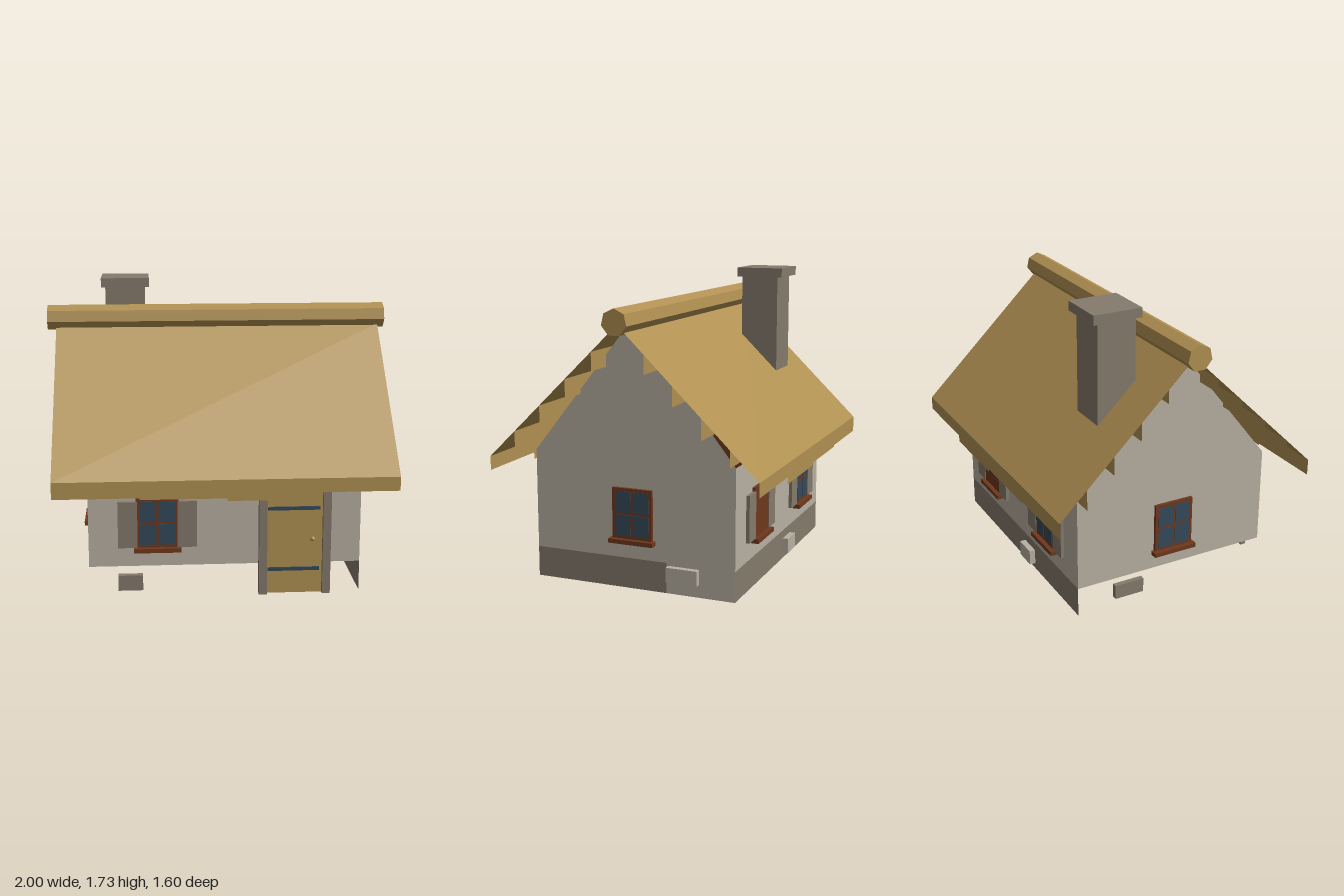
import * as THREE from 'three';

const mat = (name, color, side = THREE.FrontSide) => {
  const m = new THREE.MeshStandardMaterial({ color, side });
  m.name = name;
  return m;
};

export function createModel() {
  const house = new THREE.Group();
  house.name = 'cottage';
  const plaster = mat('plaster', 0xb8b0a2, THREE.DoubleSide);
  const stone = mat('stone', 0x857a6c, THREE.DoubleSide);
  const thatch = mat('thatch', 0xb09052, THREE.DoubleSide);
  const timber = mat('timber', 0x6e381d);
  const slate = mat('slateBlue', 0x34495a);

  const L = -0.765, R = 0.785, F = 0.605, EAVE = 0.75, BAND = 0.175;

  const add = (parent, name, geo, material) => {
    const m = new THREE.Mesh(geo, material);
    m.name = name;
    parent.add(m);
    return m;
  };
  // box given by its min and max on each axis
  const box = (parent, name, material, x0, x1, y0, y1, z0, z1) => {
    const m = add(parent, name, new THREE.BoxGeometry(x1 - x0, y1 - y0, z1 - z0), material);
    m.position.set((x0 + x1) / 2, (y0 + y1) / 2, (z0 + z1) / 2);
    return m;
  };
  const sheet = (pts) => new THREE.ShapeGeometry(new THREE.Shape(pts.map((p) => new THREE.Vector2(...p))));
  const rect = (x0, x1, y0, y1) => sheet([[x0, y0], [x1, y0], [x1, y1], [x0, y1]]);

  // Walls: open shell without floor; the front goes around the doorway
  add(house, 'frontWall', sheet([[L, BAND], [0.22, BAND], [0.22, 0.66], [0.59, 0.66], [0.59, BAND],
    [R, BAND], [R, EAVE], [L, EAVE]]), plaster).position.z = F;
  const back = add(house, 'backWall', rect(-R, -L, BAND, EAVE), plaster);
  back.position.z = -F;
  back.rotation.y = Math.PI;
  for (const [name, x, s] of [['leftGable', R, 1], ['rightGable', L, -1]]) {
    const g = add(house, name, sheet([[-F, BAND], [F, BAND], [F, EAVE], [0.04, 1.46], [-0.04, 1.46], [-F, EAVE]]), plaster);
    g.position.x = x;
    g.rotation.y = s * Math.PI / 2;
  }

  // Stone footing on the back and left sides
  const backBand = add(house, 'backFooting', rect(-R, -L, 0, BAND), stone);
  backBand.position.z = -F;
  backBand.rotation.y = Math.PI;
  const sideBand = add(house, 'leftFooting', rect(-F, 0.2, 0, BAND), stone);
  const sidePatch = add(house, 'leftFootingPlaster', rect(0.2, F, 0, BAND), plaster);
  for (const b of [sideBand, sidePatch]) {
    b.position.x = R;
    b.rotation.y = Math.PI / 2;
  }

  // Loose stones
  box(house, 'frontStone', stone, -0.6, -0.46, 0.04, 0.13, F, 0.64);
  box(house, 'backStone', plaster, -0.19, -0.05, 0.035, 0.125, -0.64, -0.6);
  box(house, 'leftStone', plaster, R - 0.01, 0.82, 0.075, 0.16, -0.395, -0.21);
  box(house, 'rightStone', stone, -0.79, L + 0.005, 0.055, 0.14, -0.38, -0.2);

  // Windows: local +z points out of the wall
  const addWindow = (name, x, z, turn, glazed, shutters) => {
    const w = new THREE.Group();
    w.name = name;
    box(w, 'frame', timber, -0.12, 0.12, 0.28, 0.58, -0.015, 0.018);
    box(w, 'sill', timber, -0.135, 0.135, 0.265, 0.29, -0.015, 0.045);
    if (glazed) {
      for (const i of [-1, 1]) {
        for (const y of [0.367, 0.501]) {
          const c = i * 0.054;
          box(w, 'pane', slate, c - 0.047, c + 0.047, y - 0.06, y + 0.06, 0.015, 0.021);
        }
      }
    }
    if (shutters) {
      for (const i of [-1, 1]) {
        const c = i * 0.168;
        box(w, 'shutter', stone, c - 0.055, c + 0.055, 0.29, 0.56, 0.002, 0.022);
      }
    }
    w.position.set(x, 0, z);
    w.rotation.y = turn;
    house.add(w);
  };
  addWindow('frontWindow', -0.375, F, 0, true, true);
  addWindow('backWindow', -0.375, -F, Math.PI, true, true);
  addWindow('backClosedWindow', 0.4, -F, Math.PI, false, true);
  addWindow('leftWindow', R, 0, Math.PI / 2, true, false);
  addWindow('rightWindow', L, 0, -Math.PI / 2, true, false);

  // Door with posts, lintel, hinge straps and knob
  const door = new THREE.Group();
  door.name = 'door';
  house.add(door);
  box(door, 'doorLeaf', thatch, 0.245, 0.565, 0, 0.66, 0.6, 0.625);
  box(door, 'doorPost', stone, 0.2, 0.246, 0, 0.72, 0.6, 0.652);
  box(door, 'doorPost', stone, 0.564, 0.61, 0, 0.72, 0.6, 0.652);
  box(door, 'lintel', stone, 0.19, 0.62, 0.645, 0.765, 0.6, 0.65);
  for (const y of [0.145, 0.507]) box(door, 'hingeStrap', slate, 0.252, 0.548, y - 0.01, y + 0.01, 0.62, 0.633);
  const knob = add(door, 'knob', new THREE.SphereGeometry(0.014, 10, 8), thatch);
  knob.position.set(0.507, 0.325, 0.635);

  // Thatch: a sloping sheet per side with rows of hanging lips, uneven in length
  const X0 = -0.95, X1 = 0.965, rows = 5, parts = 4;
  const drops = [0.095, 0.105, 0.12, 0.08, 0.11];
  for (const s of [1, -1]) {
    const roof = new THREE.Group();
    roof.name = s > 0 ? 'frontRoof' : 'backRoof';
    house.add(roof);
    const top = [0.035, 1.47], eave = [0.798, 0.73];
    const len = Math.hypot(eave[0] - top[0], top[1] - eave[1]);
    const slope = add(roof, 'thatchSlope', new THREE.PlaneGeometry(X1 - X0, len), thatch);
    slope.rotation.order = 'YXZ';
    slope.rotation.y = s > 0 ? 0 : Math.PI;
    slope.rotation.x = -Math.atan2(eave[0] - top[0], top[1] - eave[1]);
    slope.position.set((X0 + X1) / 2, (top[1] + eave[1]) / 2, s * (top[0] + eave[0]) / 2);
    for (let r = 0; r < rows; r++) {
      const z = 0.798 - r * 0.161, y = 0.73 + r * 0.156;
      for (let p = 0; p < parts; p++) {
        const w = (X1 - X0) / parts, x = X0 + p * w;
        const drop = drops[(p + r * 2) % drops.length];
        const lip = add(roof, 'thatchLip', rect(x, x + w, y - drop, y), thatch);
        lip.position.z = s * z;
        if (s < 0) {
          lip.rotation.y = Math.PI;
          lip.position.x = X0 + X1 + 2 * (p * w + w / 2 - (X1 - X0) / 2);
        }
      }
    }
  }

  // Seven-sided ridge roll, one corner up
  const ridgeGeo = new THREE.CylinderGeometry(0.075, 0.075, 2, 7).toNonIndexed();
  ridgeGeo.rotateY(Math.PI / 2);
  ridgeGeo.rotateZ(Math.PI / 2);
  ridgeGeo.computeVertexNormals();
  add(house, 'ridgeRoll', ridgeGeo, thatch).position.y = 1.518;

  // Chimney
  box(house, 'chimneyStack', stone, -0.665, -0.425, 0.92, 1.69, -0.425, -0.195);
  box(house, 'chimneyCap', stone, -0.69, -0.4, 1.675, 1.73, -0.46, -0.17);

  return house;
}
